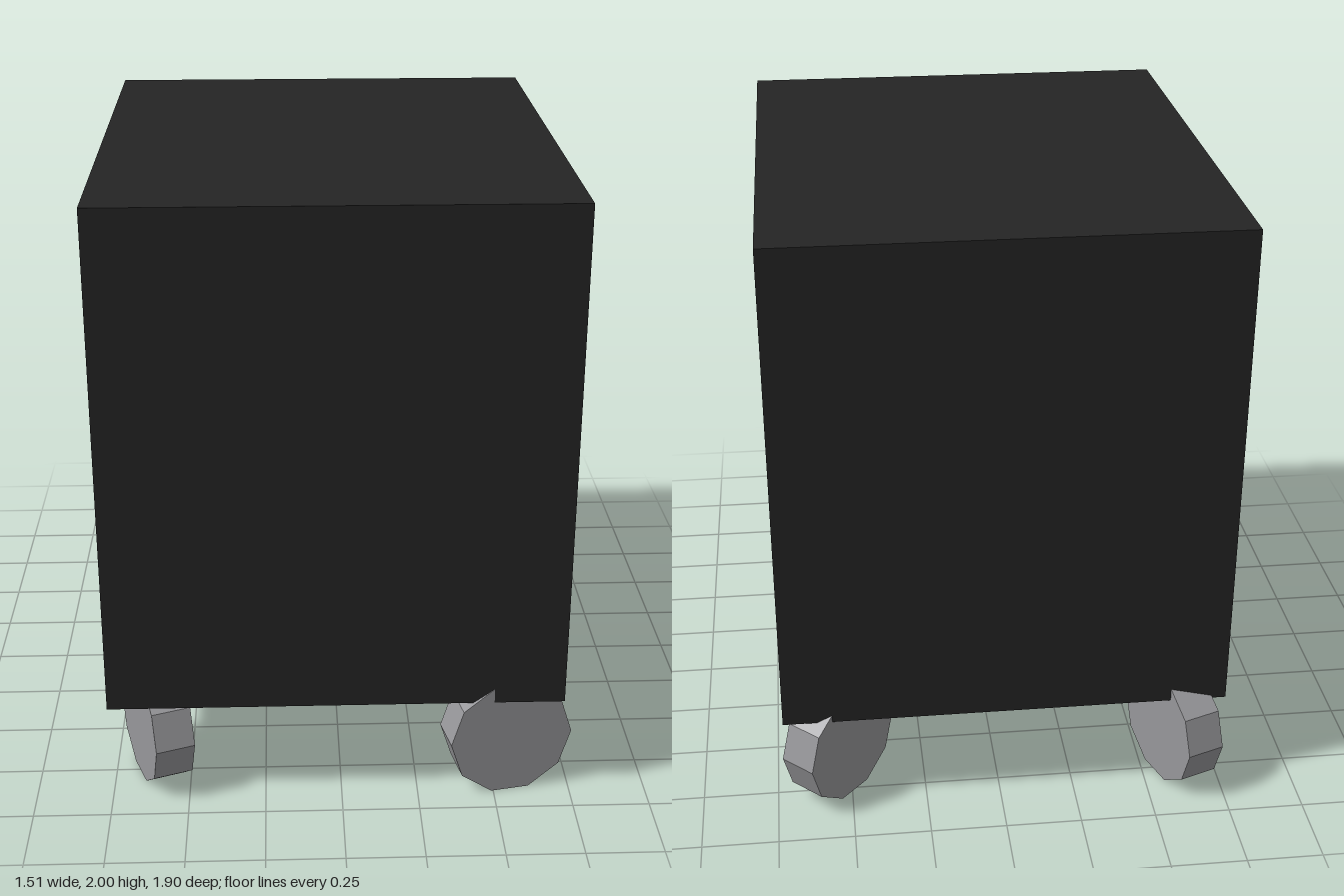
import * as THREE from 'three';

export function createModel() {
  const model = new THREE.Group();
  model.name = 'rollingCabinet';

  const black = new THREE.MeshStandardMaterial({ color: 0x242424, flatShading: true });
  black.name = 'cabinetBlack';
  const grey = new THREE.MeshStandardMaterial({ color: 0x97979a, flatShading: true });
  grey.name = 'metalGrey';

  const add = (name, geometry, material, x, y, z) => {
    const mesh = new THREE.Mesh(geometry, material);
    mesh.name = name;
    mesh.position.set(x, y, z);
    model.add(mesh);
    return mesh;
  };

  // Cabinet extents; the open recess is on the +x side
  const left = -0.755, right = 0.72, bottom = 0.34, top = 2, back = -0.83, front = 0.91;
  const recess = 0.56;
  const open = { back: -0.705, front: 0.785, bottom: 0.44, top: 1.865 };

  // Solid carcass behind the recess
  add('cabinetBody', new THREE.BoxGeometry(recess - left, top - bottom, front - back), black,
    (left + recess) / 2, (top + bottom) / 2, (front + back) / 2);

  // Frame around the recess, drawn in (-z, y) and turned to face +x
  const rectangle = (path, a0, b0, a1, b1) =>
    path.moveTo(a0, b0).lineTo(a1, b0).lineTo(a1, b1).lineTo(a0, b1).closePath();
  const outline = new THREE.Shape();
  rectangle(outline, -front, bottom, -back, top);
  const hole = new THREE.Path();
  rectangle(hole, -open.front, open.bottom, -open.back, open.top);
  outline.holes.push(hole);
  const frame = new THREE.ExtrudeGeometry(outline, { depth: right - recess, bevelEnabled: false });
  frame.rotateY(Math.PI / 2);
  add('recessFrame', frame, black, recess, 0, 0);

  // Three rails across the recess: [lower edge, upper edge]
  [[1.793, 1.865], [1.43, 1.483], [1.075, 1.13]].forEach(([low, high], i) => {
    add(`rail${i + 1}`, new THREE.BoxGeometry(right - recess, high - low, open.front - open.back), grey,
      (right + recess) / 2, (low + high) / 2, (open.front + open.back) / 2);
  });

  // Ten-sided casters, each swivelled its own way: [name, x, z, axle x, axle z]
  const radius = 0.205;
  const wheel = new THREE.CylinderGeometry(radius, radius, 0.13, 10, 1, false, Math.PI / 2);
  wheel.rotateX(Math.PI / 2);
  [
    ['frontRightWheel', -0.609, 0.735, -0.94, 0.345],
    ['frontLeftWheel', 0.543, 0.834, 0.19, 0.98],
    ['backLeftWheel', 0.539, -0.714, 0.73, 0.68],
    ['backRightWheel', -0.605, -0.74, 0.94, -0.345],
  ].forEach(([name, x, z, axleX, axleZ]) => {
    add(name, wheel, grey, x, 0.195, z).rotation.y = Math.atan2(axleX, axleZ);
  });

  return model;
}
